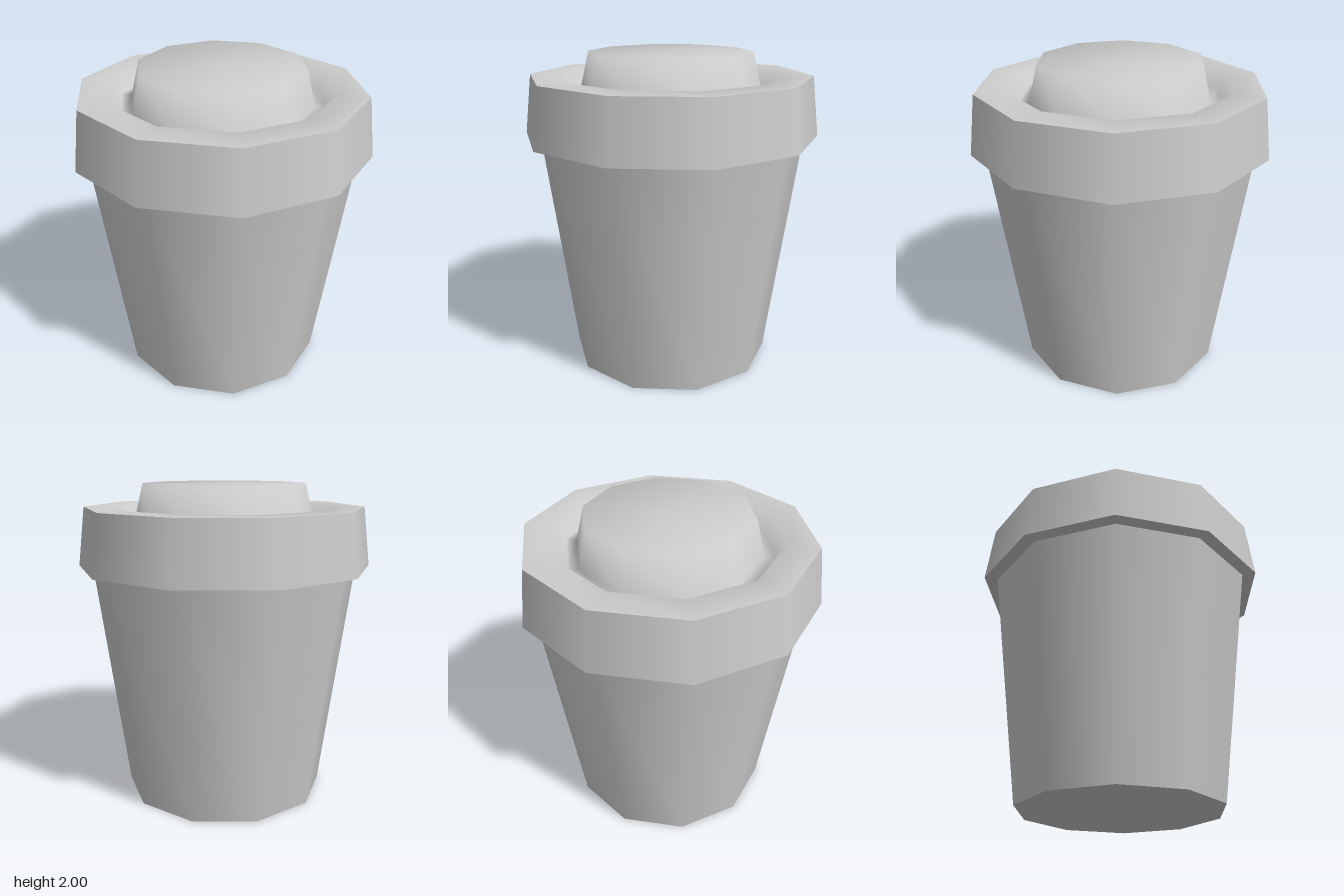
import * as THREE from 'three';

const SIDES = 10;

export function createModel() {
  const cup = new THREE.Group();
  cup.name = 'takeawayCup';
  const material = new THREE.MeshStandardMaterial({ color: 0xcccccc });

  // Ten-sided turned surface, smooth around, with a corner on the x axis.
  // Profiles run from the bottom centre, up the outside, to the top centre.
  function turned(name, profile, parent) {
    const points = profile.map(([r, y]) => new THREE.Vector2(r, y));
    const mesh = new THREE.Mesh(new THREE.LatheGeometry(points, SIDES, Math.PI / 2), material);
    mesh.name = name;
    parent.add(mesh);
  }

  // Tapered body and its base
  const body = new THREE.Group();
  body.name = 'body';
  turned('base', [[0, 0], [0.645, 0]], body);
  turned('bodyWall', [[0.645, 0], [0.845, 1.485]], body);

  // Lid: overhanging skirt, then a grooved top with a raised centre
  const lid = new THREE.Group();
  lid.name = 'lid';
  turned('lidUnderside', [[0.845, 1.485], [0.93, 1.485]], lid);
  turned('lidSkirt', [[0.93, 1.485], [0.885, 1.855]], lid);
  turned('lidTop', [
    [0.885, 1.855], [0.69, 1.855], // flat rim
    [0.63, 1.775], [0.565, 1.775], // groove
    [0.51, 2], [0, 2],             // raised centre
  ], lid);

  cup.add(body, lid);
  return cup;
}
